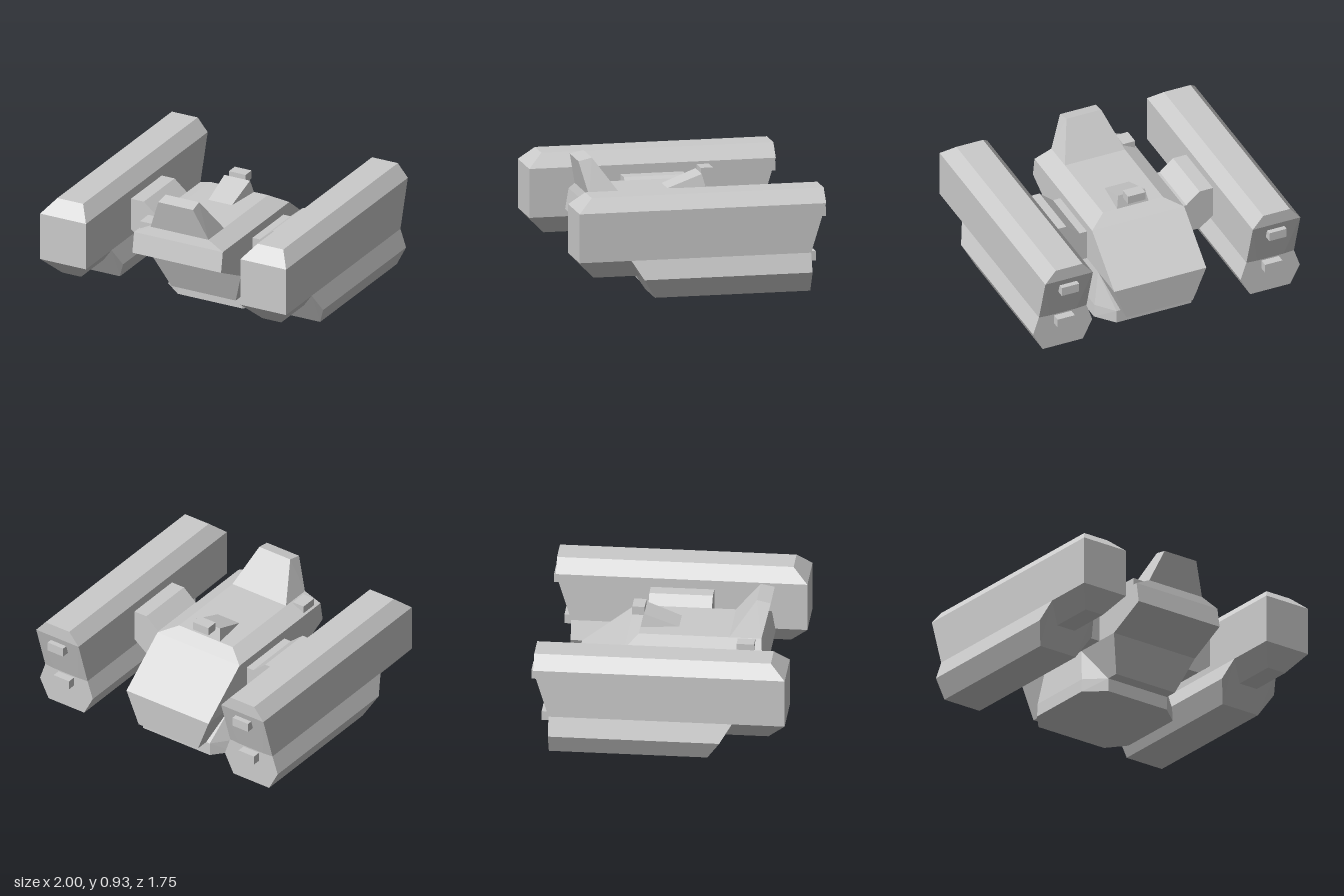
import * as THREE from 'three';
import { ConvexGeometry } from 'three/addons/geometries/ConvexGeometry.js';

const material = new THREE.MeshStandardMaterial({ color: 0xcccccc, flatShading: true });

export function createModel() {
  const model = new THREE.Group();

  const add = (name, geometry, parent = model) => {
    const mesh = new THREE.Mesh(geometry, material);
    mesh.name = name;
    parent.add(mesh);
    return mesh;
  };

  // Faceted solid from [halfWidth, y, z] corners, mirrored about x = cx
  const solid = (name, corners, cx = 0, parent = model) => {
    const points = corners.flatMap(([w, y, z]) =>
      [-w, w].map((dx) => new THREE.Vector3(cx + dx, y, z)));
    return add(name, new ConvexGeometry(points), parent);
  };

  const box = (name, w, h, d, x, y, z, parent = model) =>
    add(name, new THREE.BoxGeometry(w, h, d), parent).position.set(x, y, z);

  // Central hull: overhanging upper half with sloped rear deck, tapered lower half
  solid('upperHull', [
    [0.225, 0.68, 0.64], [0.225, 0.68, -0.2],
    [0.345, 0.62, 0.655], [0.345, 0.62, -0.285],
    [0.345, 0.475, 0.68], [0.345, 0.34, 0.4], [0.345, 0.34, -0.645],
  ]);
  solid('lowerHull', [
    [0.345, 0.34, 0.4], [0.345, 0.34, -0.645],
    [0.25, 0.095, 0.3], [0.25, 0.095, -0.635],
  ]);

  // Octagonal belly with flanks rising to the hull sides
  solid('belly', [
    [0.25, 0, 0.21], [0.39, 0, 0.09], [0.39, 0, -0.41], [0.28, 0, -0.54],
    [0.25, 0.095, 0.21], [0.385, 0.095, 0.09], [0.385, 0.095, -0.41], [0.28, 0.095, -0.54],
    [0.345, 0.34, 0.03], [0.345, 0.34, -0.38],
  ]);

  // Raised cockpit at the nose
  solid('cockpit', [
    [0.225, 0.68, 0.64], [0.225, 0.68, 0.42],
    [0.135, 0.905, 0.695], [0.13, 0.925, 0.6],
  ]);

  // Dorsal ramp and block, plus the small sensor on the right shoulder
  solid('dorsalRamp', [
    [0.09, 0.67, 0.09], [0.12, 0.67, -0.2], [0.1, 0.77, -0.175],
  ]);
  box('dorsalBlock', 0.13, 0.06, 0.085, 0, 0.775, -0.218);
  box('shoulderSensor', 0.09, 0.07, 0.12, -0.285, 0.647, 0.54);

  // Side pods and the arms that carry them
  for (const side of [1, -1]) {
    const group = new THREE.Group();
    group.name = side > 0 ? 'leftPod' : 'rightPod';
    model.add(group);
    const cx = side * 0.778;

    solid('upperPod', [
      [0.1, 0.803, 0.77], [0.1, 0.803, -0.85],
      [0.178, 0.71, 0.872], [0.178, 0.71, -0.85],
      [0.178, 0.37, 0.872], [0.178, 0.37, -0.745],
      [0.073, 0.243, 0.75], [0.073, 0.243, -0.708],
    ], cx, group);
    solid('lowerPod', [
      [0.178, 0.37, 0.51], [0.178, 0.37, -0.745],
      [0.222, 0.24, 0.428], [0.222, 0.24, -0.745],
      [0.15, 0.1, 0.34], [0.15, 0.1, -0.745],
    ], cx, group);
    box('upperNozzle', 0.13, 0.065, 0.14, cx, 0.63, -0.803, group);
    box('lowerNozzle', 0.13, 0.065, 0.12, cx, 0.323, -0.743, group);

    const profile = [
      [0.3, 0.34], [0.5, 0.34], [0.61, 0.425], [0.61, 0.645],
      [0.5, 0.645], [0.4, 0.56], [0.3, 0.56],
    ];
    const shape = new THREE.Shape(profile.map(([x, y]) => new THREE.Vector2(side * x, y)));
    const arm = new THREE.ExtrudeGeometry(shape, { depth: 0.435, bevelEnabled: false });
    add('arm', arm, group).position.z = -0.2;
  }

  return model;
}
